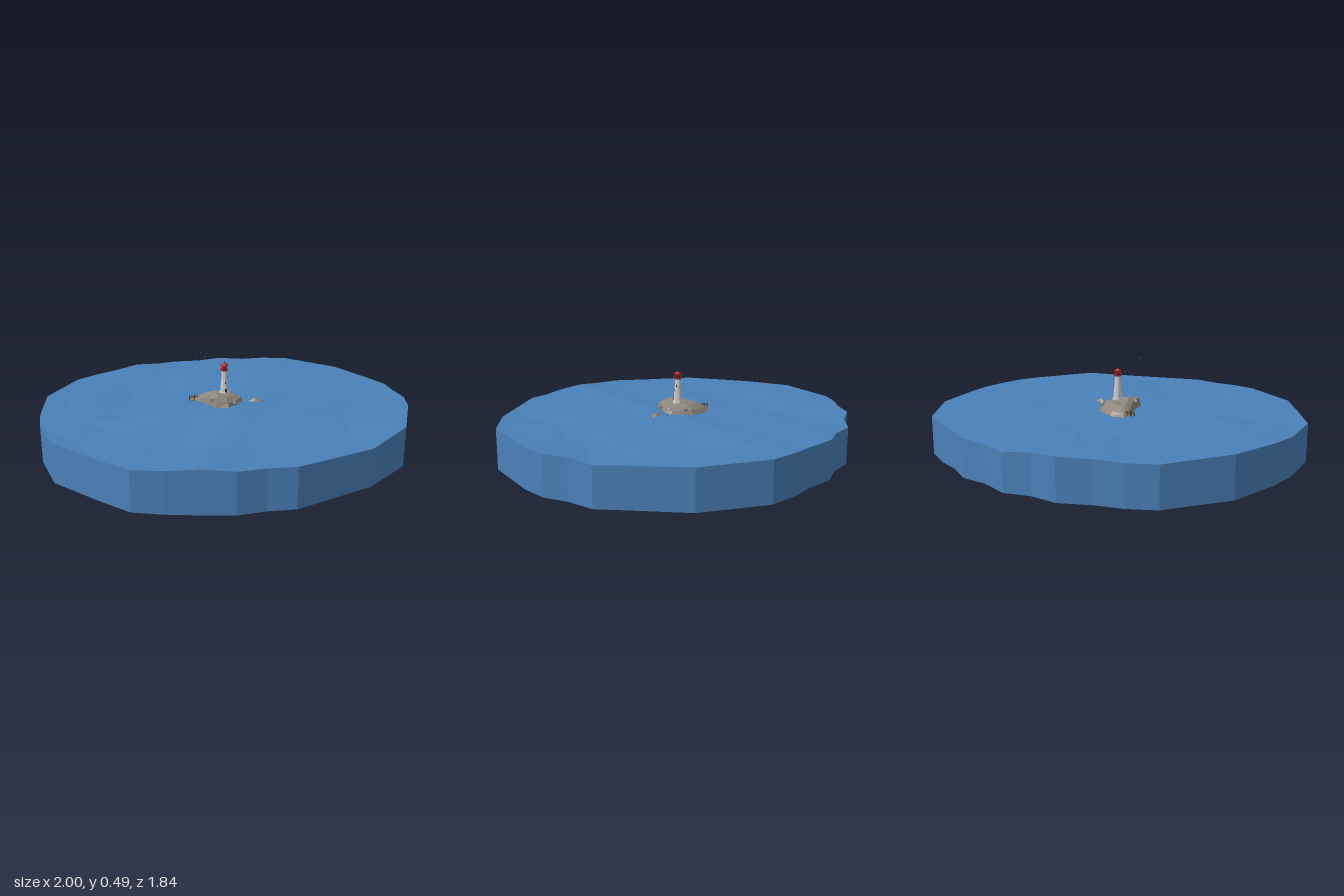
import * as THREE from 'three';
import { ConvexGeometry } from 'three/addons/geometries/ConvexGeometry.js';

const mat = (color) => new THREE.MeshStandardMaterial({ color, flatShading: true, side: THREE.DoubleSide });
const WATER = mat(0x4a80b8), ROCK = mat(0x8c857c), WHITE = mat(0xcccccc), RED = mat(0xb01820),
  DARK = mat(0x33302e), WOOD = mat(0x6b4a2c), ORANGE = mat(0xc98a2e);

const V = (x, y, z) => new THREE.Vector3(x, y, z);

function add(parent, name, geometry, material, x = 0, y = 0, z = 0) {
  const m = new THREE.Mesh(geometry, material);
  m.name = name;
  m.position.set(x, y, z);
  parent.add(m);
  return m;
}

// Faceted skin over rings of equal length (counterclockwise from above), closed by a top point
function loft(rings, top, bottom) {
  const tris = [];
  const n = rings[0].length;
  for (let i = 0; i < n; i++) {
    const j = (i + 1) % n;
    for (let k = 0; k + 1 < rings.length; k++) {
      const a = rings[k], b = rings[k + 1];
      if ((i + k) % 2) tris.push(a[i], a[j], b[j], a[i], b[j], b[i]);
      else tris.push(a[i], a[j], b[i], a[j], b[j], b[i]);
    }
    const last = rings[rings.length - 1];
    tris.push(last[i], last[j], top);
    if (bottom) tris.push(rings[0][j], rings[0][i], bottom);
  }
  const g = new THREE.BufferGeometry().setFromPoints(tris);
  g.computeVertexNormals();
  return g;
}

// Outline of the sea block (x, z), and the footprint of the rock in its floor
const COAST = [
  [1, 0], [0.96, -0.15], [0.89, -0.42], [0.68, -0.7], [0.54, -0.77], [0.41, -0.81], [0.27, -0.88], [0.13, -0.88],
  [-0.02, -0.92], [-0.15, -0.88], [-0.29, -0.88], [-0.44, -0.81], [-0.57, -0.77], [-0.7, -0.7], [-0.91, -0.42],
  [-0.98, -0.15], [-1, 0], [-0.98, 0.27], [-0.82, 0.53], [-0.71, 0.69], [-0.58, 0.76], [-0.44, 0.82], [-0.29, 0.88],
  [-0.15, 0.89], [-0.02, 0.92], [0.4, 0.84], [0.68, 0.69], [0.89, 0.4], [0.95, 0.27], [0.96, 0.14],
];
const FOOT = [[0.23, -0.03], [0.11, -0.16], [-0.06, -0.28], [-0.3, -0.25], [-0.35, -0.21],
  [-0.34, 0.01], [-0.22, 0.15], [-0.03, 0.24], [0.16, 0.12]];
const SIDE_FOOT = [[0.21, 0.15], [0.28, 0.09], [0.3, 0.02]];

function swell(x, z) {
  return 0.201 + 0.006 * Math.sin(5 * x + 3 * z + 1) + 0.005 * Math.sin(7 * z - 4 * x)
    + 0.004 * Math.sin(13 * x + 9 * z) - (x > 0.99 ? 0.012 : 0);
}

function buildSea(root) {
  const sea = new THREE.Group();
  sea.name = 'sea';
  root.add(sea);
  const rings = [COAST.map(([x, z]) => V(x, 0, z)), COAST.map(([x, z]) => V(x, swell(x, z), z))];
  [0.86, 0.72, 0.57, 0.42, 0.27, 0.13].forEach((s, k) => rings.push(COAST.map(([x, z], i) => {
    const t = s + 0.04 * Math.sin(i * 2.3 + k * 1.7);
    return V(x * t, swell(x * t, z * t), z * t);
  })));
  add(sea, 'water', loft(rings, V(0, 0.2, 0)), WATER);
  // Flat floor, open where the rock passes through
  const shape = new THREE.Shape(COAST.map(([x, z]) => new THREE.Vector2(x, z)));
  shape.holes.push(new THREE.Path([...FOOT, ...SIDE_FOOT].map(([x, z]) => new THREE.Vector2(x, z))));
  add(sea, 'seaFloor', new THREE.ShapeGeometry(shape).rotateX(Math.PI / 2), WATER);
}

function buildIsland(root) {
  const island = new THREE.Group();
  island.name = 'island';
  root.add(island);
  const shore = [[0.095, -0.01], [0.03, -0.11], [-0.07, -0.15], [-0.15, -0.145], [-0.15, -0.09],
    [-0.11, 0.02], [-0.1, 0.1], [-0.04, 0.13], [0.08, 0.03]];
  const shoulder = [0.222, 0.225, 0.22, 0.212, 0.22, 0.25, 0.255, 0.235, 0.222];
  const crown = [0.242, 0.248, 0.247, 0.24, 0.25, 0.266, 0.264, 0.255, 0.24];
  const inset = (s, ys) => shore.map(([x, z], i) => V(-0.03 + (x + 0.03) * s, ys[i], z * s));
  const rings = [FOOT.map(([x, z]) => V(x, 0, z)), shore.map(([x, z]) => V(x, 0.2, z)),
    inset(0.88, shoulder), inset(0.58, crown)];
  add(island, 'mainRock', loft(rings, V(-0.02, 0.255, 0), V(-0.05, 0, 0)), ROCK);

  // Neighbouring rock rising from the same bed
  const pts = [...SIDE_FOOT, FOOT[0], FOOT[8]].map(([x, z]) => V(x, 0, z));
  [[0.1, 0.04], [0.125, 0.075], [0.165, 0.08], [0.178, 0.055], [0.14, 0.03]].forEach(([x, z]) => pts.push(V(x, 0.203, z)));
  pts.push(V(0.125, 0.218, 0.05), V(0.145, 0.226, 0.055), V(0.16, 0.216, 0.06));
  add(island, 'sideRock', new ConvexGeometry(pts), ROCK);

  // Loose boulders on the shore
  [[0.06, 0.225, 0.015, 0.012], [0.01, 0.222, 0.085, 0.014], [-0.1, 0.24, 0.04, 0.016], [0.04, 0.23, -0.07, 0.012]]
    .forEach(([x, y, z, r], i) => {
      add(island, 'boulder', new THREE.DodecahedronGeometry(r), ROCK, x, y, z).rotation.set(i, i * 2, 0);
    });
  // Landing stage with posts and a little boat
  const dock = new THREE.Group();
  dock.name = 'dock';
  dock.position.set(-0.155, 0.218, -0.105);
  dock.rotation.y = -0.2;
  island.add(dock);
  for (let i = 0; i < 6; i++) add(dock, 'plank', new THREE.BoxGeometry(0.008, 0.003, 0.022), WOOD, -0.025 + i * 0.01, 0, 0);
  for (const x of [-0.026, 0.0]) for (const z of [-0.01, 0.01])
    add(dock, 'post', new THREE.CylinderGeometry(0.0018, 0.0018, 0.03, 6), DARK, x, -0.008, z);
  const hull = add(dock, 'boat', new THREE.CylinderGeometry(0.008, 0.005, 0.008, 6), ORANGE, -0.012, -0.011, 0.024);
  hull.scale.x = 2;
}

function buildLighthouse(root) {
  const tower = new THREE.Group();
  tower.name = 'lighthouse';
  tower.position.set(-0.015, 0, -0.005);
  root.add(tower);
  const drum = (name, rTop, rBottom, y0, y1, material) =>
    add(tower, name, new THREE.CylinderGeometry(rTop, rBottom, y1 - y0, 8), material, 0, (y0 + y1) / 2, 0);
  drum('base', 0.028, 0.03, 0.235, 0.262, WHITE);
  drum('shaft', 0.015, 0.024, 0.262, 0.38, WHITE);
  drum('gallery', 0.022, 0.017, 0.38, 0.387, RED);
  drum('lantern', 0.012, 0.012, 0.387, 0.409, DARK);
  drum('lamp', 0.013, 0.013, 0.394, 0.402, RED);
  drum('eave', 0.021, 0.021, 0.407, 0.411, RED);
  drum('roof', 0.005, 0.02, 0.411, 0.422, RED);
  drum('finial', 0.001, 0.003, 0.422, 0.434, DARK);
  // Railing around the gallery
  add(tower, 'rail', new THREE.TorusGeometry(0.021, 0.0009, 4, 8).rotateX(Math.PI / 2), RED, 0, 0.397, 0);
  for (let i = 0; i < 8; i++) {
    const a = i * Math.PI / 4;
    add(tower, 'railPost', new THREE.CylinderGeometry(0.0008, 0.0008, 0.011, 4), RED, 0.021 * Math.cos(a), 0.392, 0.021 * Math.sin(a));
  }
  // Door and windows
  add(tower, 'door', new THREE.BoxGeometry(0.01, 0.02, 0.004), DARK, 0, 0.272, 0.022);
  add(tower, 'window', new THREE.BoxGeometry(0.005, 0.009, 0.004), DARK, 0, 0.315, 0.0185);
  add(tower, 'window', new THREE.BoxGeometry(0.004, 0.009, 0.005), DARK, 0.0165, 0.345, 0);
}

function buildBirds(root) {
  const birds = new THREE.Group();
  birds.name = 'birds';
  root.add(birds);
  const wing = [V(0, 0, -0.002), V(0, 0, 0.002), V(0.006, 0.003, 0)];
  [[-0.165, 0.47, -0.03], [-0.135, 0.475, 0.02], [-0.14, 0.385, -0.1], [-0.12, 0.38, 0.0], [-0.09, 0.42, -0.05], [-0.15, 0.49, -0.005]]
    .forEach(([x, y, z], i) => {
      const bird = new THREE.Group();
      bird.name = 'bird';
      bird.position.set(x, y, z);
      bird.rotation.y = i;
      birds.add(bird);
      for (const s of [1, -1]) {
        const g = new THREE.BufferGeometry().setFromPoints(wing.map((p) => V(p.x * s, p.y, p.z)));
        g.computeVertexNormals();
        add(bird, 'wing', g, WHITE);
      }
    });
}

export function createModel() {
  const root = new THREE.Group();
  root.name = 'lighthouseIsland';
  buildSea(root);
  buildIsland(root);
  buildLighthouse(root);
  buildBirds(root);
  return root;
}
